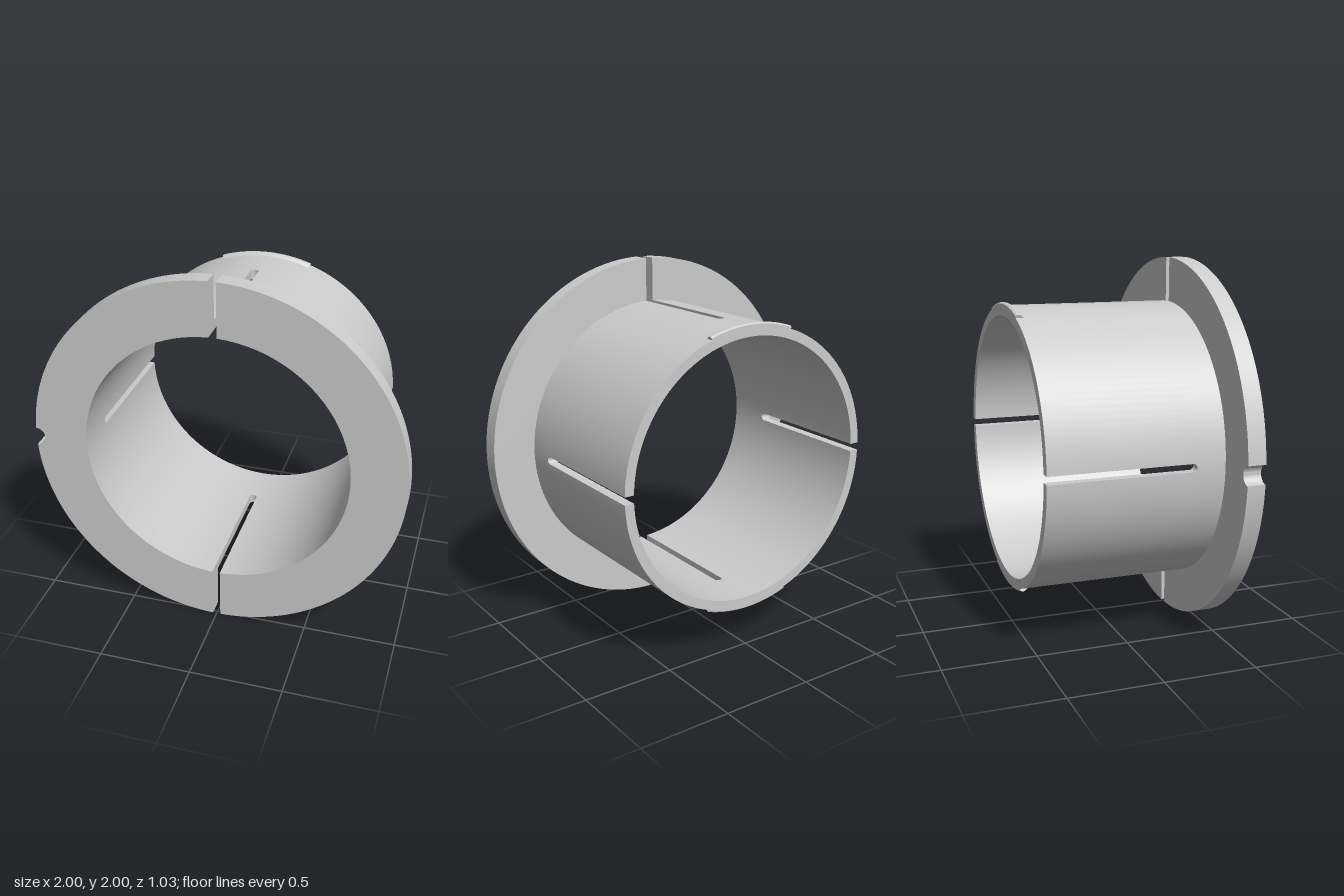
import * as THREE from 'three';
import { toCreasedNormals } from 'three/addons/utils/BufferGeometryUtils.js';

const BACK = -0.517, FRONT = 0.517, FLANGE_BACK = 0.42;
const INNER = 0.71, OUTER = 0.762, RIM = 1;
const SLOT = 0.021;      // slot half width
const SLOT_TIP = 0.265;  // distance of the rounded slot ends from the middle

// Skins a list of cross-sections (arrays of Vector3), as a closed loop or with end caps.
function skin(sections, closed) {
  const pos = [], n = sections[0].length, m = sections.length;
  const tri = (a, b, c) => {
    const area = b.clone().sub(a).cross(c.clone().sub(a)).length();
    if (area > 1e-8) pos.push(...a.toArray(), ...b.toArray(), ...c.toArray());
  };
  for (let i = 0; i < (closed ? m : m - 1); i++) {
    const s = sections[i], t = sections[(i + 1) % m];
    for (let k = 0; k < n; k++) {
      const l = (k + 1) % n;
      tri(s[k], t[k], t[l]);
      tri(s[k], t[l], s[l]);
    }
  }
  if (!closed) {
    const s = sections[0], t = sections[m - 1];
    for (let k = 1; k < n - 1; k++) {
      tri(s[0], s[k], s[k + 1]);
      tri(t[0], t[k + 1], t[k]);
    }
  }
  const g = new THREE.BufferGeometry();
  g.setAttribute('position', new THREE.Float32BufferAttribute(pos, 3));
  return toCreasedNormals(g, 0.5);
}

const polar = (r, a, z) => new THREE.Vector3(r * Math.cos(a), r * Math.sin(a), z);

// Sleeve wall: side slots open to the back, top and bottom slots open to the front
function sleeveGeometry() {
  const sections = [];
  const add = (aOut, aIn, z0, z1) => sections.push([
    polar(OUTER, aOut, z0), polar(OUTER, aOut, z1), polar(INNER, aIn, z1), polar(INNER, aIn, z0),
  ]);
  const eOut = Math.asin(SLOT / OUTER), eIn = Math.asin(SLOT / INNER);
  const arcSteps = 32, slotSteps = 12;
  for (let q = 0; q < 4; q++) {
    const mid = q * Math.PI / 2;
    // parallel-sided slot with a rounded end
    for (let i = 0; i <= slotSteps; i++) {
      const phi = (i / slotSteps - 0.5) * Math.PI;
      const off = SLOT * Math.sin(phi);
      const tip = SLOT_TIP - SLOT + SLOT * Math.cos(phi);
      const aOut = mid + Math.asin(off / OUTER), aIn = mid + Math.asin(off / INNER);
      if (q % 2 === 0) add(aOut, aIn, tip, FLANGE_BACK);
      else add(aOut, aIn, BACK, -tip);
    }
    // full wall up to the next slot
    for (let i = 0; i <= arcSteps; i++) {
      const t = i / arcSteps;
      add(mid + eOut + t * (Math.PI / 2 - 2 * eOut), mid + eIn + t * (Math.PI / 2 - 2 * eIn), BACK, FLANGE_BACK);
    }
  }
  return skin(sections, true);
}

// Half flange on the -x side, optionally with the round locating notch
function flangeGeometry(notched) {
  const P = Math.PI, s = new THREE.Shape();
  const aOut = Math.asin(SLOT / RIM), aIn = Math.asin(SLOT / INNER);
  if (notched) {
    const r = 0.05, d = 2 * Math.asin(r / 2);
    s.absarc(0, 0, RIM, P / 2 + aOut, P - d, false);
    s.absarc(-RIM, 0, r, P / 2 - d / 2, -P / 2 + d / 2, true);
    s.absarc(0, 0, RIM, P + d, 1.5 * P - aOut, false);
  } else {
    s.absarc(0, 0, RIM, P / 2 + aOut, 1.5 * P - aOut, false);
  }
  s.absarc(0, 0, INNER, 1.5 * P - aIn, P / 2 + aIn, true);
  s.closePath();
  const g = new THREE.ExtrudeGeometry(s, { depth: FRONT - FLANGE_BACK, bevelEnabled: false, curveSegments: 64 });
  g.translate(0, 0, FLANGE_BACK);
  return toCreasedNormals(g, 0.5);
}

// Rounded snap lip along the back edge, centred on the top
function lipGeometry() {
  const profile = [
    [0.75, BACK], [0.77, BACK], [0.775, -0.512], [0.778, -0.504],
    [0.777, -0.494], [0.772, -0.486], [0.762, -0.476], [0.75, -0.476],
  ];
  const half = Math.asin(0.25 / 0.765), steps = 20, sections = [];
  for (let i = 0; i <= steps; i++) {
    const a = Math.PI / 2 + (2 * i / steps - 1) * half;
    sections.push(profile.map(([r, z]) => polar(r, a, z)));
  }
  return skin(sections, false);
}

export function createModel() {
  const model = new THREE.Group();
  model.name = 'flangedBushing';
  const material = new THREE.MeshStandardMaterial({ color: 0xcccccc });
  const part = (name, geometry, turn = 0) => {
    const mesh = new THREE.Mesh(geometry, material);
    mesh.name = name;
    mesh.position.y = 1;
    mesh.rotation.z = turn;
    model.add(mesh);
  };

  part('sleeve', sleeveGeometry());
  part('rightFlange', flangeGeometry(true));
  part('leftFlange', flangeGeometry(false), Math.PI);
  const lip = lipGeometry();
  part('topSnapLip', lip);
  part('bottomSnapLip', lip, Math.PI);
  return model;
}
